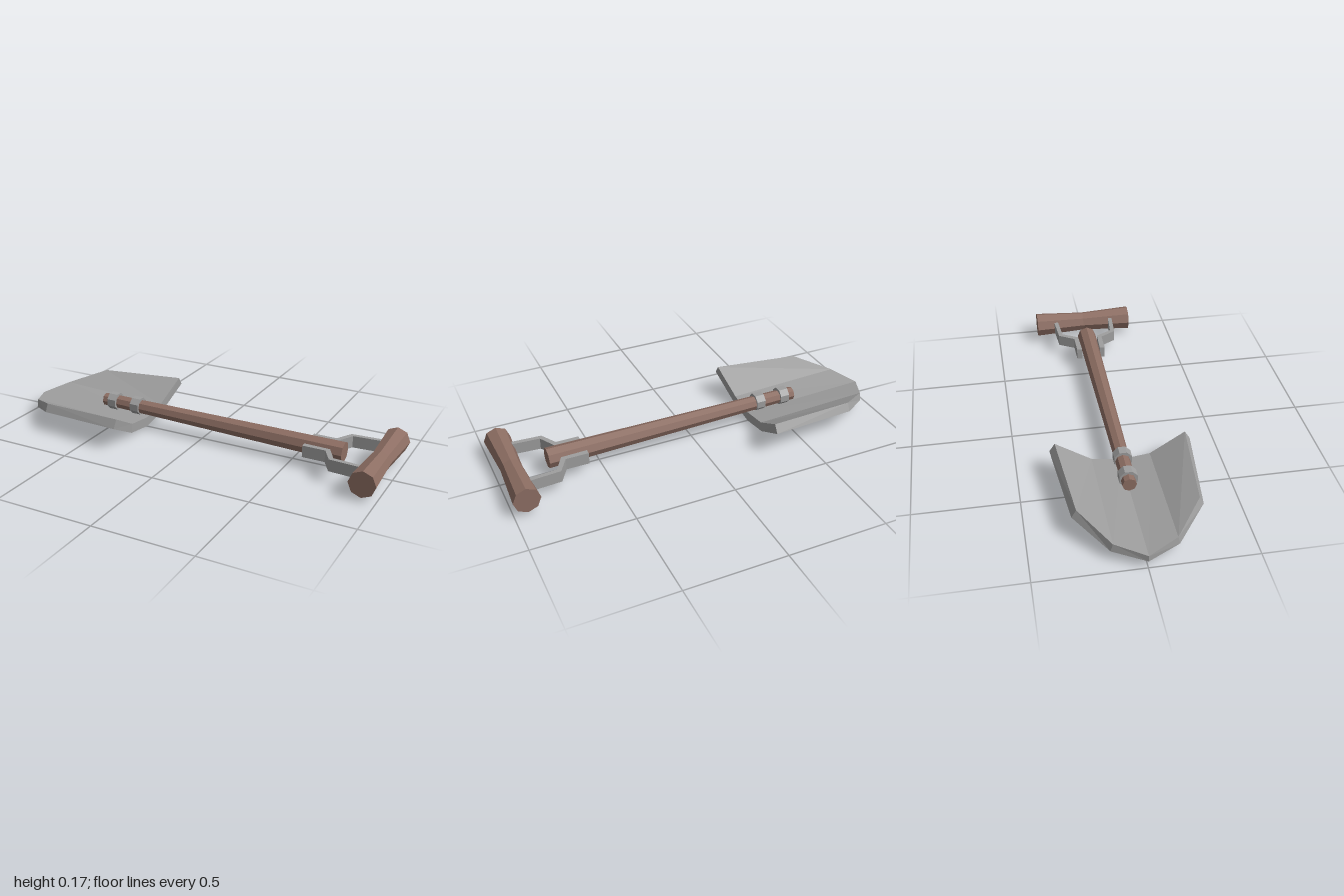
import * as THREE from 'three';

const wood = new THREE.MeshStandardMaterial({ name: 'wood', color: 0x8d6e63, flatShading: true });
const steel = new THREE.MeshStandardMaterial({ name: 'steel', color: 0x9e9e9e, flatShading: true });
const AXIS_Z = -0.004;

function part(name, geometry, material) {
  const mesh = new THREE.Mesh(geometry, material);
  mesh.name = name;
  return mesh;
}

// Dished plate: five lengthwise columns, each with a front and back end, top and bottom
function bladeGeometry() {
  // per end: [x, bottom y, bottom z, top y, top z]
  const half = [
    { front: [-1.0, 0.038, 0, 0.07, 0], back: [-0.33, 0, 0, 0.05, 0] },
    { front: [-0.93, 0.052, 0.152, 0.092, 0.142], back: [-0.33, 0.023, 0.152, 0.07, 0.142] },
    { front: [-0.76, 0.11, 0.296, 0.15, 0.275], back: [-0.31, 0.125, 0.341, 0.167, 0.315] },
  ];
  const columns = [[2, -1], [1, -1], [0, 1], [1, 1], [2, 1]].map(([i, s]) => {
    const ends = {};
    for (const end of ['front', 'back']) {
      const [x, by, bz, ty, tz] = half[i][end];
      ends[end] = { bottom: [x, by, s * bz], top: [x, ty, s * tz] };
    }
    return ends;
  });
  const pos = [];
  const quad = (a, b, c, d) => pos.push(...a, ...b, ...c, ...a, ...c, ...d);
  for (let i = 0; i < 4; i++) {
    const { front: f0, back: b0 } = columns[i];
    const { front: f1, back: b1 } = columns[i + 1];
    quad(f0.top, f1.top, b1.top, b0.top);
    quad(f0.bottom, b0.bottom, b1.bottom, f1.bottom);
    quad(f0.top, f0.bottom, f1.bottom, f1.top);
    quad(b0.top, b1.top, b1.bottom, b0.bottom);
  }
  const { front: fr, back: br } = columns[0];
  const { front: fl, back: bl } = columns[4];
  quad(fr.top, br.top, br.bottom, fr.bottom);
  quad(fl.top, fl.bottom, bl.bottom, bl.top);
  const geo = new THREE.BufferGeometry();
  geo.setAttribute('position', new THREE.Float32BufferAttribute(pos, 3));
  geo.computeVertexNormals();
  return geo;
}

// Bent strap joining the shaft to one side of the grip
function bracketGeometry(side) {
  const outline = [
    [0.575, 0.078], [0.69, 0.078], [0.738, 0.16], [0.89, 0.17],
    [0.89, 0.148], [0.752, 0.138], [0.705, 0.054], [0.575, 0.05],
  ];
  const shape = new THREE.Shape(outline.map(([x, z]) => new THREE.Vector2(x, side * z)));
  return new THREE.ExtrudeGeometry(shape, { depth: 0.06, bevelEnabled: false }).rotateX(Math.PI / 2);
}

export function createModel() {
  const model = new THREE.Group();
  model.name = 'shovel';

  const blade = part('blade', bladeGeometry(), steel);
  blade.rotation.x = 0.012;
  model.add(blade);

  // Tapered shaft, sloping slightly down toward the grip
  const start = new THREE.Vector3(-0.585, 0.107, AXIS_Z);
  const end = new THREE.Vector3(0.76, 0.09, AXIS_Z);
  const tilt = Math.atan2(end.y - start.y, end.x - start.x);
  const shaft = part('shaft', new THREE.CylinderGeometry(0.051, 0.034, start.distanceTo(end), 8), wood);
  shaft.position.copy(start).lerp(end, 0.5);
  shaft.rotation.z = tilt - Math.PI / 2;
  model.add(shaft);

  // Clamps holding the shaft to the blade
  for (const x of [-0.525, -0.385]) {
    const geo = new THREE.CylinderGeometry(0.046, 0.046, 0.048, 8).rotateY(Math.PI / 8);
    const clamp = part('clamp', geo, steel);
    clamp.position.set(x, 0.109, -0.002);
    clamp.rotation.z = tilt - Math.PI / 2;
    model.add(clamp);
  }

  // Grip brackets
  for (const side of [1, -1]) {
    const bracket = part(side > 0 ? 'frontBracket' : 'backBracket', bracketGeometry(side), steel);
    bracket.position.set(0, 0.115, AXIS_Z - 0.002);
    model.add(bracket);
  }

  // Cross grip, waisted in the middle
  const profile = [[0, -0.268], [0.066, -0.268], [0.052, 0], [0.066, 0.268], [0, 0.268]]
    .map(([r, y]) => new THREE.Vector2(r, y));
  const grip = part('grip', new THREE.LatheGeometry(profile, 8).rotateX(Math.PI / 2), wood);
  grip.position.set(0.934, 0.084, AXIS_Z);
  model.add(grip);

  return model;
}
